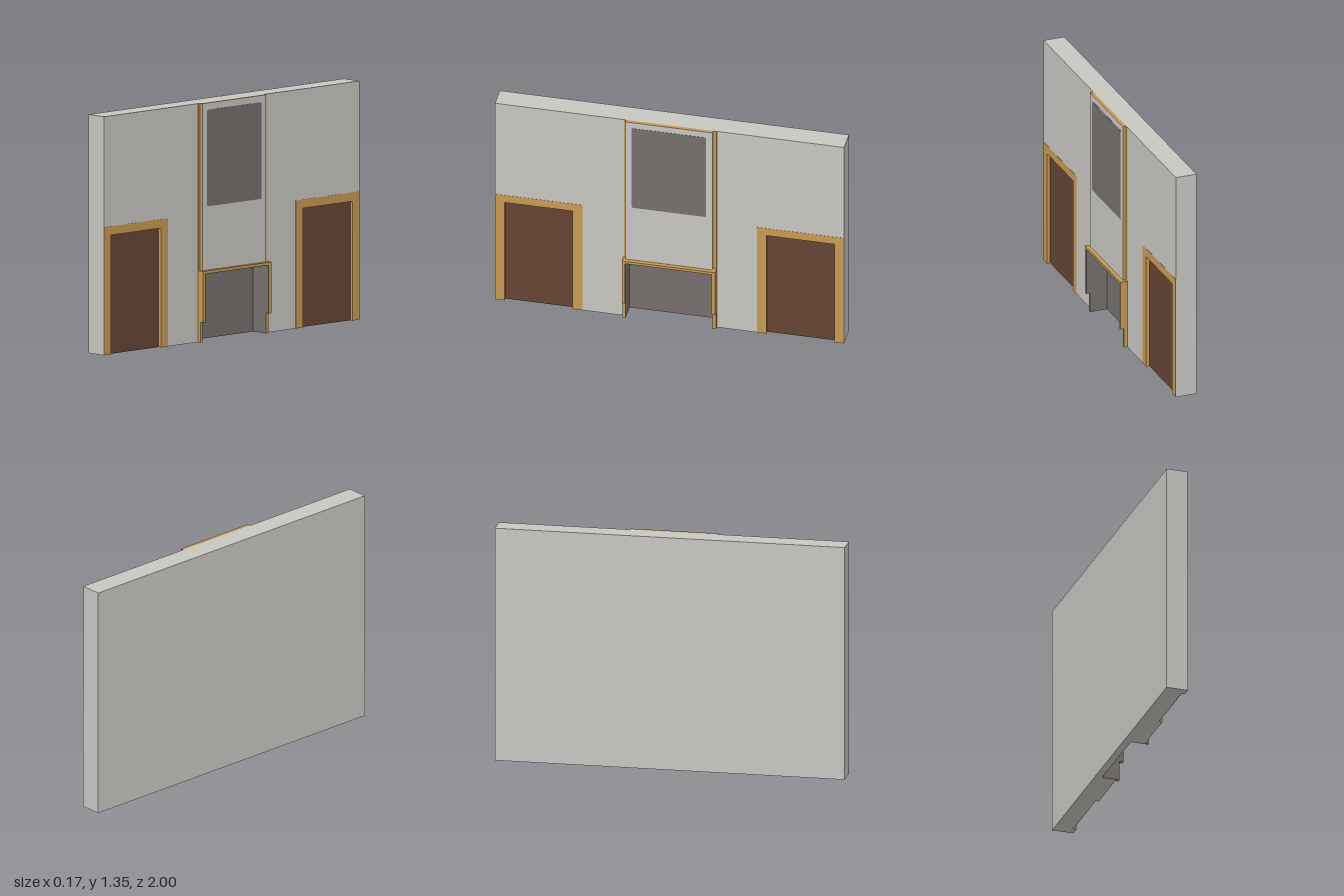
import * as THREE from 'three';

const flat = (name, color) => {
  const m = new THREE.MeshStandardMaterial({ color });
  m.name = name;
  return m;
};

// Outline in (u, y), where u = -z, with rectangular notches cut up from its base
function outline(left, right, base, top, notches = []) {
  const pts = [[left, base]];
  for (const [l, r, h] of notches) pts.push([l, base], [l, h], [r, h], [r, base]);
  pts.push([right, base], [right, top], [left, top]);
  const clean = pts.filter((p, i) => i === 0 || p[0] !== pts[i - 1][0] || p[1] !== pts[i - 1][1]);
  return new THREE.Shape(clean.map(([u, y]) => new THREE.Vector2(u, y)));
}

export function createModel() {
  const model = new THREE.Group();
  const plaster = flat('plaster', 0xc8c7c2);
  const trim = flat('trim', 0xc99a52);
  const wood = flat('doorWood', 0x654434);
  const slate = flat('slate', 0x75706d);

  // Extrudes an outline along x from x0 to x1
  function slab(name, shape, x0, x1, material) {
    const g = new THREE.ExtrudeGeometry(shape, { depth: x1 - x0, bevelEnabled: false, curveSegments: 3 });
    g.rotateY(Math.PI / 2).translate(x0, 0, 0);
    const mesh = new THREE.Mesh(g, material);
    mesh.name = name;
    model.add(mesh);
  }

  const H = 1.35, FACE = 0.04, BACK = -0.085, PANEL = 0.06, MANTEL = 0.083;
  const fire = [-0.25, 0.25, 0.39];
  const doors = [-0.75, 0.75];
  const doorNotch = (c) => [c - 0.2, c + 0.2, 0.68];

  // Wall in three layers: solid back, fireplace recess, door recesses
  slab('wallBack', outline(-1, 1, 0, H), BACK, -0.045, plaster);
  slab('wallCore', outline(-1, 1, 0, H, [fire]), -0.045, 0.02, plaster);
  slab('wallFront', outline(-1, 1, 0, H, [doorNotch(-0.75), fire, doorNotch(0.75)]), 0.02, FACE, plaster);

  // Doors, their linings and flush casings
  for (const c of doors) {
    slab('door', outline(c - 0.2, c + 0.2, 0, 0.68), 0.019, 0.022, wood);
    slab('doorLining', outline(c - 0.2, c + 0.2, 0, 0.68, [[c - 0.195, c + 0.195, 0.675]]), 0.02, FACE, trim);
    slab('doorCasing', outline(c - 0.25, c + 0.25, 0, 0.725, [[c - 0.195, c + 0.195, 0.675]]), FACE, FACE + 0.001, trim);
  }

  // Chimney breast with trim-coloured edges and flush strips beside it
  slab('chimneyBreast', outline(-0.25, 0.25, 0.39, H), FACE, PANEL, [plaster, trim]);
  slab('sideStrip', outline(-0.262, -0.25, 0.4, H), FACE, FACE + 0.001, trim);
  slab('sideStrip', outline(0.25, 0.27, 0.4, H), FACE, FACE + 0.001, trim);

  // Mantel surround and the shallower legs below it
  slab('mantel', outline(-0.265, 0.27, 0.115, 0.405, [fire]), FACE, MANTEL, trim);
  slab('mantelLeg', outline(-0.265, -0.25, 0, 0.115), FACE, PANEL, trim);
  slab('mantelLeg', outline(0.25, 0.27, 0, 0.115), FACE, PANEL, trim);

  // Firebox back and lining
  const inner = [-0.248, 0.248, 0.388];
  slab('fireboxBack', outline(-0.25, 0.25, 0, 0.39), -0.046, -0.043, slate);
  slab('fireboxLining', outline(-0.25, 0.25, 0, 0.39, [inner]), -0.045, PANEL, slate);
  slab('mantelLining', outline(-0.25, 0.25, 0.115, 0.39, [inner]), PANEL, MANTEL - 0.001, slate);

  // Wall screen with slightly rounded corners
  const s = new THREE.Shape(), w = 0.213, y0 = 0.765, y1 = 1.312, r = 0.01;
  s.absarc(w - r, y0 + r, r, -Math.PI / 2, 0);
  s.absarc(w - r, y1 - r, r, 0, Math.PI / 2);
  s.absarc(-w + r, y1 - r, r, Math.PI / 2, Math.PI);
  s.absarc(-w + r, y0 + r, r, Math.PI, Math.PI * 1.5);
  slab('wallScreen', s, PANEL, PANEL + 0.001, slate);

  return model;
}
